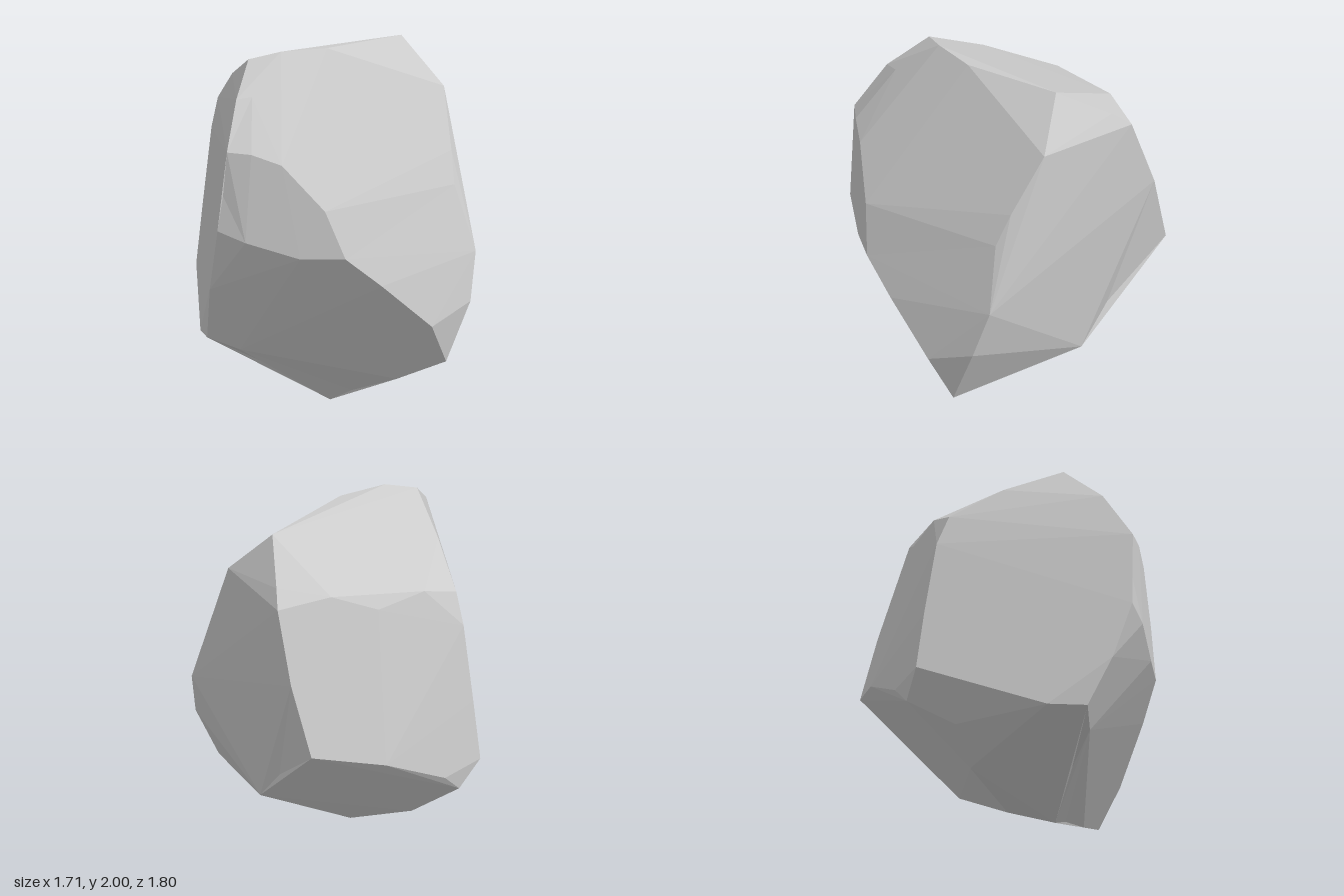
import * as THREE from 'three';

// Corners where three or more chipped faces meet
const crown = [0.2, 2, -0.49], brow = [0.01, 2, 0.35], peak = [-0.12, 1.96, 0.48];
const shoulder = [-0.65, 1.63, 0.1], nape = [0, 1.83, -0.74], notch = [0.46, 1.73, -0.55];
const chipTop = [0.04, 1.5, 0.87], chipLow = [0, 1.05, 0.905], chipSide = [0.6, 0.9, 0.5];
const waist = [0.69, 1.22, -0.36], hip = [0.8, 0.25, -0.15], heel = [0.18, 0.4, -0.64];
const elbow = [-0.855, 0.65, 0.04], spur = [-0.35, 0.92, -0.9], chin = [-0.2, 0.4, 0.75];
const jaw = [-0.37, 0.4, 0.6], keel = [-0.4, 0.18, 0.02], base = [-0.03, 0.05, -0.05];
const foot = [0.18, 0, 0.12];

// Edges running between those corners
const crest = [crown, [0.14, 2, 0.1], brow];
const topFront = [peak, [-0.4, 1.82, 0.28], shoulder];
const topBack = [shoulder, [-0.57, 1.7, -0.1], [-0.45, 1.67, -0.38], [-0.27, 1.79, -0.59], nape];
const backCorner = [nape, [-0.07, 1.75, -0.83], [-0.21, 1.34, -0.9], spur];
const leftCorner = [shoulder, [-0.72, 1.45, 0.07], [-0.8, 1, 0.05], elbow];
const ridgeTop = [peak, [-0.03, 1.77, 0.7], chipTop];
const ridgeMid = [chipTop, [0.02, 1.25, 0.88], chipLow];
const ridgeLow = [chipLow, [-0.1, 0.7, 0.85], chin];
const bevel = [brow, [0.02, 1.78, 0.62], chipTop];
const chipRim = [chipTop, [0.16, 1.49, 0.8], [0.3, 1.43, 0.7], [0.5, 1.17, 0.56], chipSide];
const chipBase = [chipSide, [0.4, 0.9, 0.66], [0.15, 0.99, 0.84], chipLow];
const sideLow = [chipSide, [0.7, 0.73, 0.3], [0.82, 0.47, 0], hip];
const sideBack = [hip, [0.855, 0.58, -0.3], [0.82, 0.85, -0.39], waist];
const sideTop = [waist, [0.62, 1.4, -0.42], notch];
const frontBase = [chin, [-0.06, 0.33, 0.63], [0.03, 0.2, 0.4], foot];
const rightBase = [foot, [0.3, 0.06, 0.08], [0.55, 0.14, -0.02], hip];
const backBase = [heel, [0, 0.62, -0.71], spur];
const leftBase = [spur, [-0.62, 0.8, -0.55], [-0.78, 0.61, -0.2], elbow];
const leftKeel = [elbow, [-0.8, 0.5, -0.09], [-0.6, 0.36, 0.1], keel];

const rev = (edge) => [...edge].reverse();

// Each face is a closed loop of edges
const faces = [
  [crest, topFront, topBack],                                     // top
  [[crown, nape, notch]],                                         // notch behind the top
  [ridgeTop, rev(bevel)],                                         // bevel beside the ridge
  [topFront, leftCorner, [jaw], rev(ridgeLow), rev(ridgeMid), rev(ridgeTop)], // front left
  [chipRim, chipBase, rev(ridgeMid)],                             // front chip
  [ridgeLow, frontBase, rightBase, rev(sideLow), chipBase],       // lower front
  [crest, bevel, chipRim, sideTop],                               // upper side
  [sideLow, sideBack],                                            // lower side
  [rev(sideTop), rev(sideBack), backBase, rev(backCorner)],       // back
  [topBack, backCorner, leftBase, rev(leftCorner)],               // back left
  [leftKeel, [jaw]],                                              // underside, front left
  [[keel, base], rev(frontBase), [jaw]],                          // underside, front
  [leftBase, leftKeel, [base], backBase],                         // underside, back left
  [[base, heel, hip], rev(rightBase)],                            // underside, back right
];

const core = new THREE.Vector3(0, 1, 0);
const cross = new THREE.Vector3();
const volume = (a, b, c) => a.dot(cross.crossVectors(b, c));

// Split a loop into the triangles that enclose the most stone, so faces never dent
function fillLoop(loop) {
  const memo = new Map();
  const solve = (i, j) => {
    if (j - i < 2) return { score: 0, triangles: [] };
    const key = i * 100 + j;
    if (memo.has(key)) return memo.get(key);
    let best = { score: -Infinity };
    for (let k = i + 1; k < j; k++) {
      const left = solve(i, k), right = solve(k, j);
      const v = volume(loop[i], loop[k], loop[j]);
      const score = left.score + right.score + (v > 0 ? v : 10 * v);
      if (score > best.score) {
        best = { score, triangles: [...left.triangles, ...right.triangles, loop[i], loop[k], loop[j]] };
      }
    }
    memo.set(key, best);
    return best;
  };
  return solve(0, loop.length - 1).triangles;
}

function facetGeometry() {
  const points = [];
  for (const edges of faces) {
    const loop = [...new Set(edges.flat())].map((p) => new THREE.Vector3(...p).sub(core));
    // Run every loop counter-clockwise as seen from outside
    const middle = new THREE.Vector3();
    loop.forEach((p) => middle.add(p));
    const turn = loop.reduce((sum, p, i) => sum + volume(middle, p, loop[(i + 1) % loop.length]), 0);
    points.push(...fillLoop(turn > 0 ? loop : loop.reverse()));
  }
  const geometry = new THREE.BufferGeometry().setFromPoints(points);
  geometry.translate(core.x, core.y, core.z);
  geometry.computeVertexNormals();
  return geometry;
}

export function createModel() {
  const group = new THREE.Group();
  group.name = 'boulder';
  const stone = new THREE.Mesh(
    facetGeometry(),
    new THREE.MeshStandardMaterial({ color: 0xcccccc, flatShading: true }),
  );
  stone.name = 'stone';
  group.add(stone);
  return group;
}
